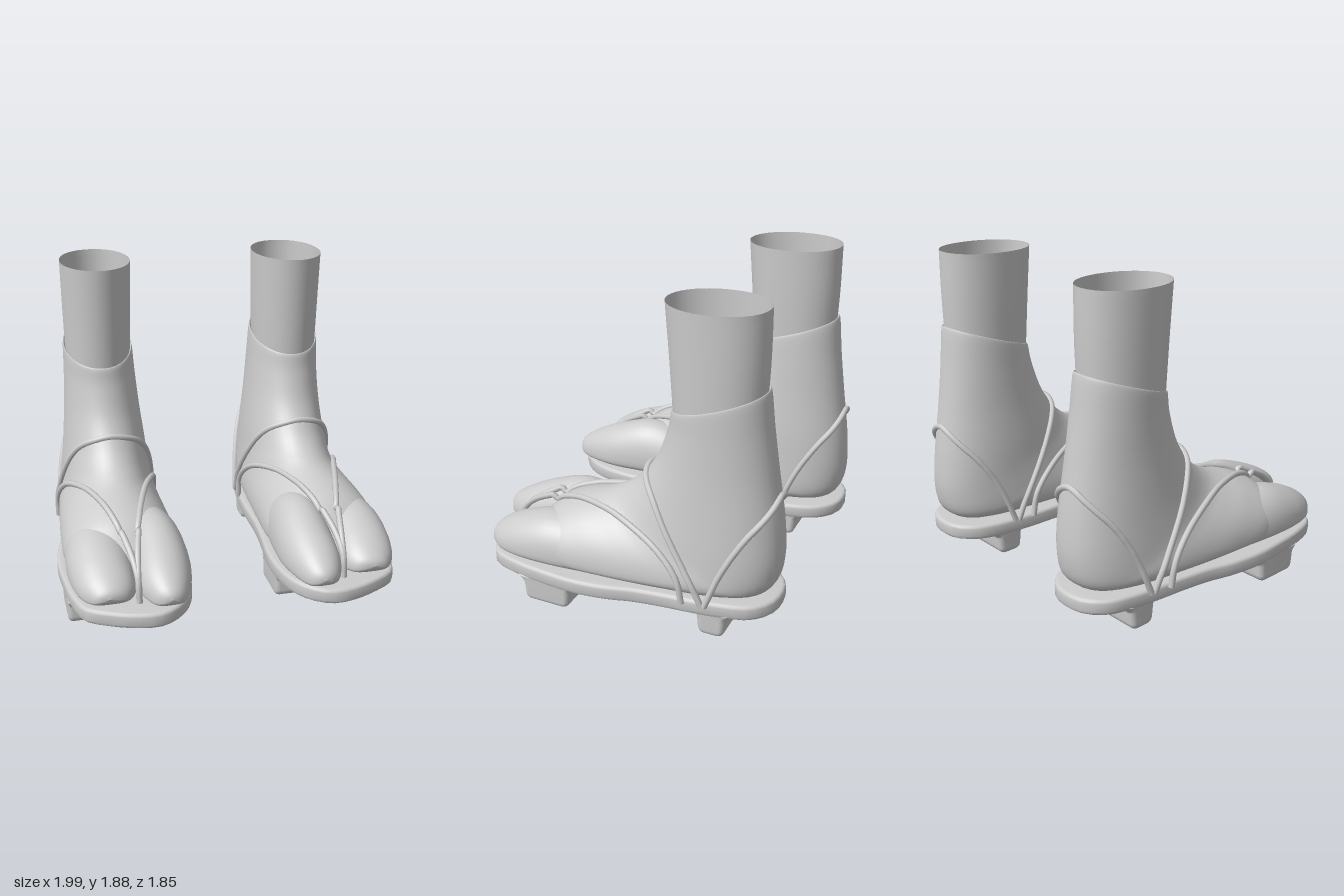
import * as THREE from 'three';
import { toCreasedNormals } from 'three/addons/utils/BufferGeometryUtils.js';

const V = (x, y, z) => new THREE.Vector3(x, y, z);
const mat = new THREE.MeshStandardMaterial({ color: 0xcccccc, side: THREE.DoubleSide });
const MID = 0.6; // centre line of one foot

function add(group, name, geometry) {
  const mesh = new THREE.Mesh(geometry, mat);
  mesh.name = name;
  group.add(mesh);
  return mesh;
}

// Skin over cross-sections, each [backZ, backY, frontZ, frontY, xMin, xMax, widest, lowPower, highPower]
function loft(sections, steps, sides = 40) {
  const curve = pts => new THREE.CatmullRomCurve3(pts, false, 'catmullrom', 0.5);
  const low = curve(sections.map(s => V(s[4], s[1], s[0])));
  const high = curve(sections.map(s => V(s[5], s[3], s[2])));
  const form = curve(sections.map(s => V(s[6], s[7], s[8])));
  const pos = [], index = [];
  const pow = (v, e) => Math.sign(v) * Math.abs(v) ** e;
  for (let j = 0; j <= steps; j++) {
    const p = low.getPoint(j / steps), q = high.getPoint(j / steps), f = form.getPoint(j / steps);
    for (let i = 0; i < sides; i++) {
      const a = (i / sides) * Math.PI * 2, e = Math.sin(a) < 0 ? f.y : f.z;
      const s = pow(Math.sin(a), e);
      const t = f.x + s * (s > 0 ? 1 - f.x : f.x);
      pos.push((p.x + q.x) / 2 + ((q.x - p.x) / 2) * pow(Math.cos(a), e),
        p.y + (q.y - p.y) * t, p.z + (q.z - p.z) * t);
      if (j < steps) {
        const k = j * sides, n = (i + 1) % sides;
        index.push(k + i, k + n, k + sides + i, k + n, k + sides + n, k + sides + i);
      }
    }
  }
  const g = new THREE.BufferGeometry();
  g.setAttribute('position', new THREE.Float32BufferAttribute(pos, 3));
  g.setIndex(index);
  g.computeVertexNormals();
  return g;
}

// Toe sections: [z, xMin, xMax, bottom, top]
const toe = rows => loft(rows.map(([z, x0, x1, y0, y1]) =>
  [z, y0, z, y1, x0, x1, 0.26, 0.65, 0.97]), 36, 36);

// Cord that hugs the given meshes; origin(p) is the inner point it is pushed out from
function cord(points, origin, meshes) {
  const r = 0.018, ray = new THREE.Raycaster();
  const path = new THREE.CatmullRomCurve3(points).getSpacedPoints(44).map(p => {
    if (p.z > 0.5) return p;
    const probe = V(p.x, Math.max(p.y, 0.34), p.z); // below this the cord drops straight to the sole
    const o = origin(probe), dir = probe.clone().sub(o).normalize();
    ray.set(o, dir);
    const hits = ray.intersectObjects(meshes, false);
    if (!hits.length) return p;
    o.addScaledVector(dir, hits[hits.length - 1].distance + r * 0.5);
    return p.y < 0.34 ? V(o.x, p.y, o.z) : o;
  });
  return new THREE.TubeGeometry(new THREE.CatmullRomCurve3(path), 90, r, 8);
}

const flip = p => V(2 * MID - p.x, p.y, p.z);
const loop = half => [...half, ...half.slice(0, -1).reverse().map(flip)];

// Sandal support: flared side profile swept across the width
function tooth(z0, z1, x0, x1) {
  const b = 0.03, s = new THREE.Shape();
  s.moveTo(-z0, 0.15);
  s.quadraticCurveTo(-z0 - b, 0.14, -z0 - b, 0.1);
  s.lineTo(-z0 - b - 0.005, 0.05);
  s.quadraticCurveTo(-z0 - b - 0.005, b, -z0 - b - 0.02, b);
  s.lineTo(-z1 + b + 0.02, b);
  s.quadraticCurveTo(-z1 + b + 0.005, b, -z1 + b + 0.005, 0.05);
  s.lineTo(-z1 + b, 0.1);
  s.quadraticCurveTo(-z1 + b, 0.14, -z1, 0.15);
  const g = new THREE.ExtrudeGeometry(s, {
    depth: x1 - x0 - 2 * b, bevelSize: b, bevelThickness: b, bevelSegments: 4, curveSegments: 6 });
  g.rotateY(Math.PI / 2).translate(x0 + b, 0, 0);
  return toCreasedNormals(g, 0.7);
}

function createFoot() {
  const foot = new THREE.Group();

  // Bare leg, open at the top
  add(foot, 'leg', loft([
    [-0.80, 1.88, -0.23, 1.87, 0.395, 0.82, 0.5, 0.95, 1],
    [-0.80, 1.6, -0.255, 1.55, 0.40, 0.815, 0.5, 0.95, 1],
    [-0.79, 1.32, -0.28, 1.17, 0.41, 0.808, 0.5, 0.95, 1],
  ], 10));

  // Sock from the cuff, round the heel and along the instep
  const sock = add(foot, 'sock', loft([
    [-0.79, 1.415, -0.285, 1.245, 0.41, 0.808, 0.5, 0.95, 1],
    [-0.81, 1.42, -0.268, 1.25, 0.395, 0.822, 0.5, 0.95, 1],
    [-0.835, 1.2, -0.245, 1.14, 0.382, 0.825, 0.5, 0.95, 1],
    [-0.87, 0.95, -0.18, 0.96, 0.364, 0.834, 0.5, 0.95, 1],
    [-0.912, 0.65, -0.08, 0.81, 0.34, 0.853, 0.48, 0.92, 1],
    [-0.92, 0.42, 0.0, 0.735, 0.328, 0.87, 0.46, 0.88, 1],
    [-0.87, 0.27, 0.07, 0.69, 0.315, 0.885, 0.43, 0.82, 1],
    [-0.72, 0.235, 0.13, 0.66, 0.305, 0.905, 0.36, 0.72, 1],
    [-0.4, 0.235, 0.2, 0.635, 0.295, 0.93, 0.29, 0.62, 1],
    [0.0, 0.235, 0.3, 0.605, 0.282, 0.955, 0.25, 0.6, 1],
    [0.3, 0.235, 0.42, 0.55, 0.28, 0.955, 0.26, 0.65, 1],
    [0.5, 0.24, 0.52, 0.46, 0.36, 0.88, 0.32, 0.75, 1],
    [0.62, 0.3, 0.62, 0.36, 0.55, 0.66, 0.4, 0.9, 1],
  ], 84, 48));

  // Split toes: big toe inside, the rest outside
  const bigToe = add(foot, 'bigToe', toe([
    [0.1, 0.31, 0.59, 0.24, 0.49], [0.26, 0.285, 0.61, 0.235, 0.558],
    [0.42, 0.27, 0.612, 0.235, 0.57], [0.6, 0.27, 0.604, 0.235, 0.515],
    [0.75, 0.30, 0.588, 0.24, 0.45], [0.86, 0.345, 0.54, 0.25, 0.385],
    [0.905, 0.39, 0.49, 0.275, 0.345], [0.92, 0.44, 0.44, 0.31, 0.31],
  ]));
  const otherToes = add(foot, 'otherToes', toe([
    [0.0, 0.64, 0.91, 0.24, 0.45], [0.2, 0.59, 0.947, 0.235, 0.51],
    [0.42, 0.585, 0.965, 0.235, 0.52], [0.6, 0.594, 0.952, 0.235, 0.47],
    [0.72, 0.61, 0.918, 0.24, 0.415], [0.79, 0.65, 0.87, 0.255, 0.37],
    [0.82, 0.70, 0.83, 0.28, 0.34], [0.832, 0.77, 0.77, 0.31, 0.31],
  ]));

  // Sandal sole with rounded rim, pointed slightly towards the big toe
  const outline = [[0.5, 0.91], [0.4, 0.86], [0.31, 0.75], [0.265, 0.6], [0.252, 0.4], [0.272, 0.2],
    [0.29, 0], [0.292, -0.3], [0.305, -0.52], [0.335, -0.7], [0.385, -0.82], [0.5, -0.915],
    [0.69, -0.915], [0.81, -0.82], [0.855, -0.68], [0.885, -0.5], [0.9, -0.35], [0.93, -0.15],
    [0.97, 0], [0.995, 0.2], [0.985, 0.4], [0.96, 0.6], [0.905, 0.76], [0.8, 0.83], [0.64, 0.895]];
  const rim = new THREE.CatmullRomCurve3(outline.map(([x, z]) => V(x, -z, 0)), true);
  const shape = new THREE.Shape(rim.getSpacedPoints(72).slice(0, -1));
  const sole = new THREE.ExtrudeGeometry(shape, {
    depth: 0.05, bevelSize: 0.02, bevelThickness: 0.02, bevelOffset: -0.02, bevelSegments: 3 });
  sole.rotateX(-Math.PI / 2).translate(0, 0.16, 0);
  add(foot, 'sole', toCreasedNormals(sole, 0.7));
  add(foot, 'frontTooth', tooth(0.24, 0.54, 0.265, 0.975));
  add(foot, 'backTooth', tooth(-0.68, -0.51, 0.34, 0.855));

  // Cords over the toes, the ankle and the heel
  const body = [sock, bigToe, otherToes];
  const toeCord = [V(0.9, 0.22, -0.45), V(0.9, 0.36, -0.42), V(0.89, 0.5, -0.29), V(0.85, 0.6, -0.1),
    V(0.79, 0.645, 0.08), V(0.71, 0.62, 0.3), V(0.65, 0.54, 0.5), V(0.615, 0.45, 0.66),
    V(MID, 0.35, 0.75), V(MID, 0.22, 0.77)];
  const fromSole = p => V(MID, 0.34, p.z);
  add(foot, 'outerToeCord', cord(toeCord, fromSole, body));
  add(foot, 'innerToeCord', cord(toeCord.map(flip), fromSole, body));
  add(foot, 'ankleCord', cord(loop([V(0.9, 0.22, -0.56), V(0.9, 0.35, -0.5), V(0.89, 0.55, -0.37),
    V(0.85, 0.72, -0.24), V(0.75, 0.82, -0.17), V(MID, 0.87, -0.12)]), p => V(MID, p.y, -0.45), body));
  add(foot, 'heelCord', cord(loop([V(0.87, 0.22, -0.57), V(0.87, 0.4, -0.64), V(0.85, 0.55, -0.72),
    V(0.78, 0.7, -0.81), V(MID, 0.84, -0.9)]), p => V(MID, p.y, -0.5), body));
  return foot;
}

export function createModel() {
  const model = new THREE.Group();
  const left = createFoot();
  left.name = 'leftFoot';
  const right = createFoot();
  right.name = 'rightFoot';
  right.scale.x = -1;
  model.add(left, right);
  return model;
}
